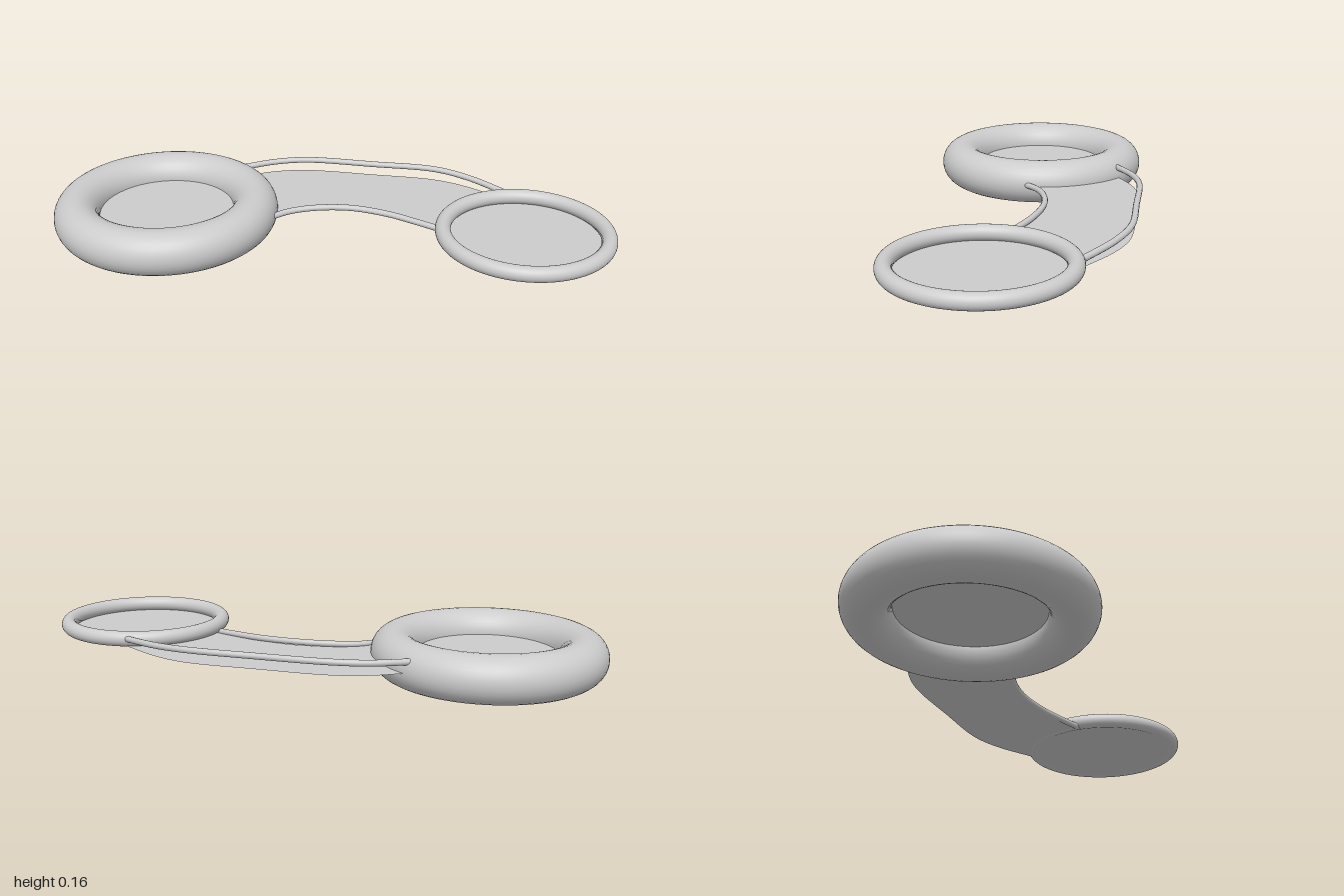
import * as THREE from 'three';

const ringZ = 0.015;      // both rings share this z
const sheetY = 0.081;     // height of the thin flat sheets
const bigX = -0.598, smallX = 0.688;

export function createModel() {
  const model = new THREE.Group();
  const solid = new THREE.MeshStandardMaterial({ color: 0xcccccc });
  const thin = new THREE.MeshStandardMaterial({ color: 0xcccccc, side: THREE.DoubleSide });

  const add = (name, geometry, material, x = 0, y = 0, z = 0) => {
    const mesh = new THREE.Mesh(geometry, material);
    mesh.name = name;
    mesh.position.set(x, y, z);
    model.add(mesh);
  };

  // Round rim with a flat sheet across its opening
  const addRing = (name, x, y, radius, tube, sheetRadius) => {
    add(name + 'Ring', new THREE.TorusGeometry(radius, tube, 32, 96).rotateX(Math.PI / 2), solid, x, y, ringZ);
    add(name + 'Sheet', new THREE.CircleGeometry(sheetRadius, 96).rotateX(-Math.PI / 2), thin, x, sheetY, ringZ);
  };
  addRing('large', bigX, 0.081, 0.322, 0.081, 0.322);
  addRing('small', smallX, 0.104, 0.283, 0.027, 0.276);

  // Rails bordering the bridge, their ends buried in the rings
  const curve = (points) => new THREE.CatmullRomCurve3(points.map((p) => new THREE.Vector3(...p)));
  const back = curve([
    [-0.41, 0.118, -0.30], [-0.28, 0.122, -0.374], [-0.16, 0.125, -0.407], [0.1, 0.125, -0.411],
    [0.34, 0.125, -0.406], [0.47, 0.119, -0.364], [0.63, 0.107, -0.27],
  ]);
  const front = curve([
    [-0.23, 0.084, 0.04], [-0.15, 0.087, -0.034], [-0.05, 0.091, -0.073], [0.07, 0.093, -0.086],
    [0.2, 0.091, -0.066], [0.3, 0.088, -0.032], [0.405, 0.085, 0.01],
  ]);
  add('backRail', new THREE.TubeGeometry(back, 64, 0.011, 12), solid);
  add('frontRail', new THREE.TubeGeometry(front, 64, 0.011, 12), solid);

  // Flat bridge between the rails, its ends following the rings
  const arc = (cx, from, to) => {
    const polar = (p) => [Math.atan2(p.z - ringZ, p.x - cx), Math.hypot(p.x - cx, p.z - ringZ)];
    const [a0, r0] = polar(from), [a1, r1] = polar(to);
    return Array.from({ length: 15 }, (_, i) => {
      const t = (i + 1) / 16;
      const a = a0 + (a1 - a0) * t, r = r0 + (r1 - r0) * t;
      return new THREE.Vector3(cx + r * Math.cos(a), 0, ringZ + r * Math.sin(a));
    });
  };
  const backPoints = back.getPoints(48);
  const frontPoints = front.getPoints(48).reverse();
  const outline = [
    ...backPoints,
    ...arc(smallX, backPoints.at(-1), frontPoints[0]),
    ...frontPoints,
    ...arc(bigX, frontPoints.at(-1), backPoints[0]),
  ].map((p) => new THREE.Vector2(p.x, -p.z));
  add('bridgeSheet', new THREE.ShapeGeometry(new THREE.Shape(outline)).rotateX(-Math.PI / 2), thin, 0, sheetY, 0);

  return model;
}
